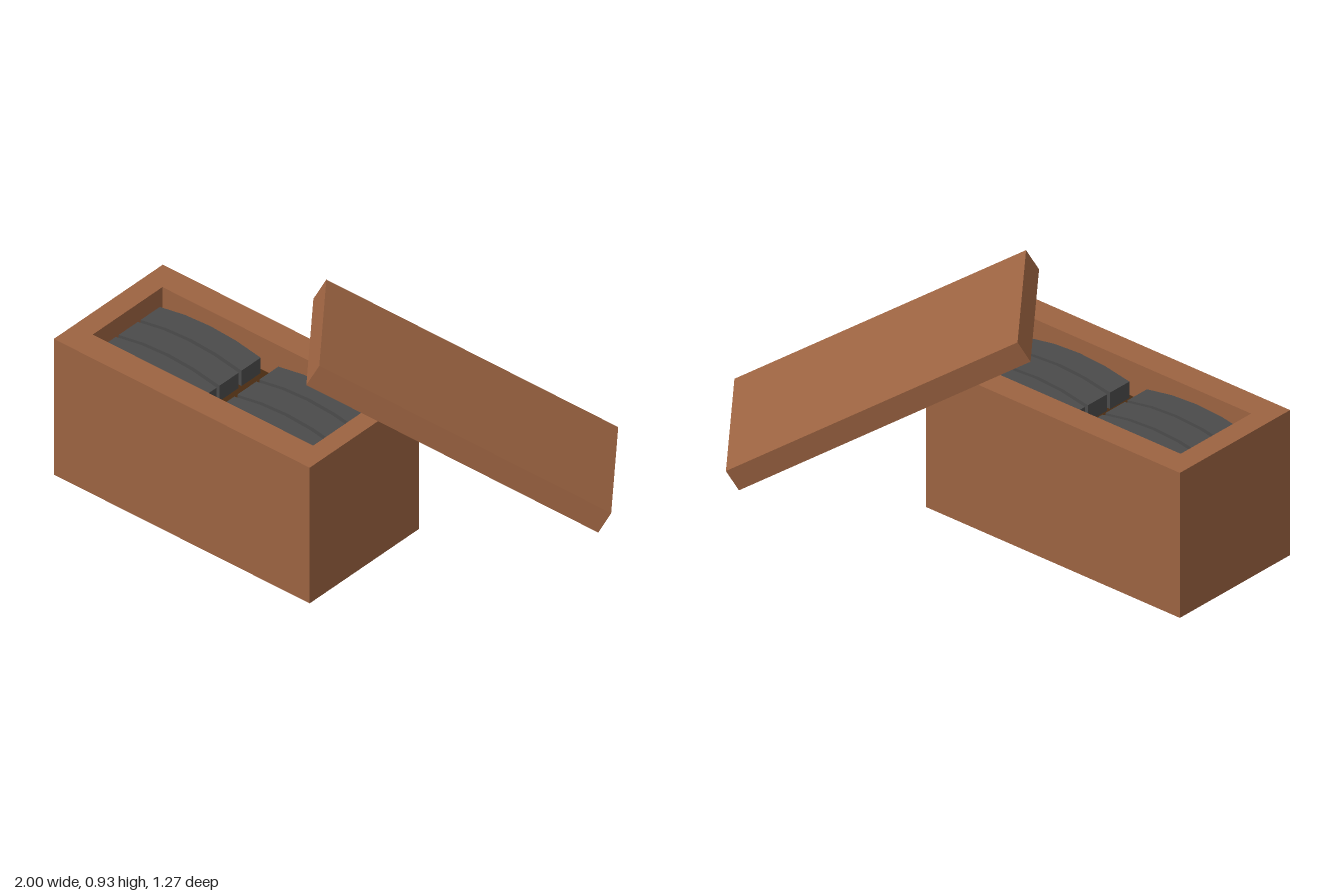
import * as THREE from 'three';

const wood = new THREE.MeshStandardMaterial({ color: 0x9c6341, flatShading: true });
const darkWood = new THREE.MeshStandardMaterial({ color: 0x4a2c12, flatShading: true });
const slate = new THREE.MeshStandardMaterial({ color: 0x4b4b4b, flatShading: true });

// Counter-clockwise rectangle traced onto a shape or path
function rect(target, x0, y0, x1, y1) {
  target.moveTo(x0, y0);
  target.lineTo(x1, y0);
  target.lineTo(x1, y1);
  target.lineTo(x0, y1);
  target.closePath();
  return target;
}

function add(parent, name, geometry, material, x = 0, y = 0, z = 0) {
  const mesh = new THREE.Mesh(geometry, material);
  mesh.name = name;
  mesh.position.set(x, y, z);
  parent.add(mesh);
  return mesh;
}

export function createModel() {
  const model = new THREE.Group();
  model.name = 'openBox';

  const floorY = 0.46, topY = 0.61;

  // Solid lower body of the box
  const body = new THREE.Group();
  body.name = 'body';
  model.add(body);
  add(body, 'base', new THREE.BoxGeometry(1.23, floorY, 0.61), wood, -0.385, floorY / 2, 0.328);

  // Rim walls around the opening (shape y becomes -z)
  const outline = rect(new THREE.Shape(), -1, -0.633, 0.23, -0.023);
  outline.holes.push(rect(new THREE.Path(), -0.91, -0.52, 0.15, -0.13));
  const walls = new THREE.ExtrudeGeometry(outline, { depth: topY - floorY, bevelEnabled: false });
  walls.rotateX(-Math.PI / 2);
  add(body, 'rim', walls, wood, 0, floorY, 0);

  // Dark floor inside the opening
  add(body, 'innerFloor', new THREE.BoxGeometry(1.06, 0.01, 0.39), darkWood, -0.38, floorY, 0.325);

  // Two rows of three gently arched bars
  const length = 0.485, endH = 0.07, rise = 0.028, steps = 4;
  const profile = new THREE.Shape();
  profile.moveTo(-length / 2, 0);
  profile.lineTo(length / 2, 0);
  for (let i = 0; i <= steps; i++) {
    const t = 1 - (2 * i) / steps;
    profile.lineTo((t * length) / 2, endH + rise * (1 - t * t));
  }
  profile.closePath();
  const barGeometry = new THREE.ExtrudeGeometry(profile, { depth: 0.107, bevelEnabled: false });
  const bars = new THREE.Group();
  bars.name = 'bars';
  model.add(bars);
  for (const x of [-0.663, -0.093]) {
    for (let i = 0; i < 3; i++) {
      add(bars, 'bar', barGeometry, slate, x, floorY + 0.004, 0.15 + i * 0.123);
    }
  }

  // Lid leaning off the back corner
  const lid = add(model, 'lid', new THREE.BoxGeometry(1.224, 0.096, 0.6), wood, 0.361, 0.565, -0.068);
  const along = new THREE.Vector3(0.707, -0.489, -0.511).normalize();
  const across = new THREE.Vector3(0.617, 0.073, 0.783).normalize();
  const up = new THREE.Vector3().crossVectors(across, along).normalize();
  across.crossVectors(along, up);
  lid.quaternion.setFromRotationMatrix(new THREE.Matrix4().makeBasis(along, up, across));

  return model;
}
